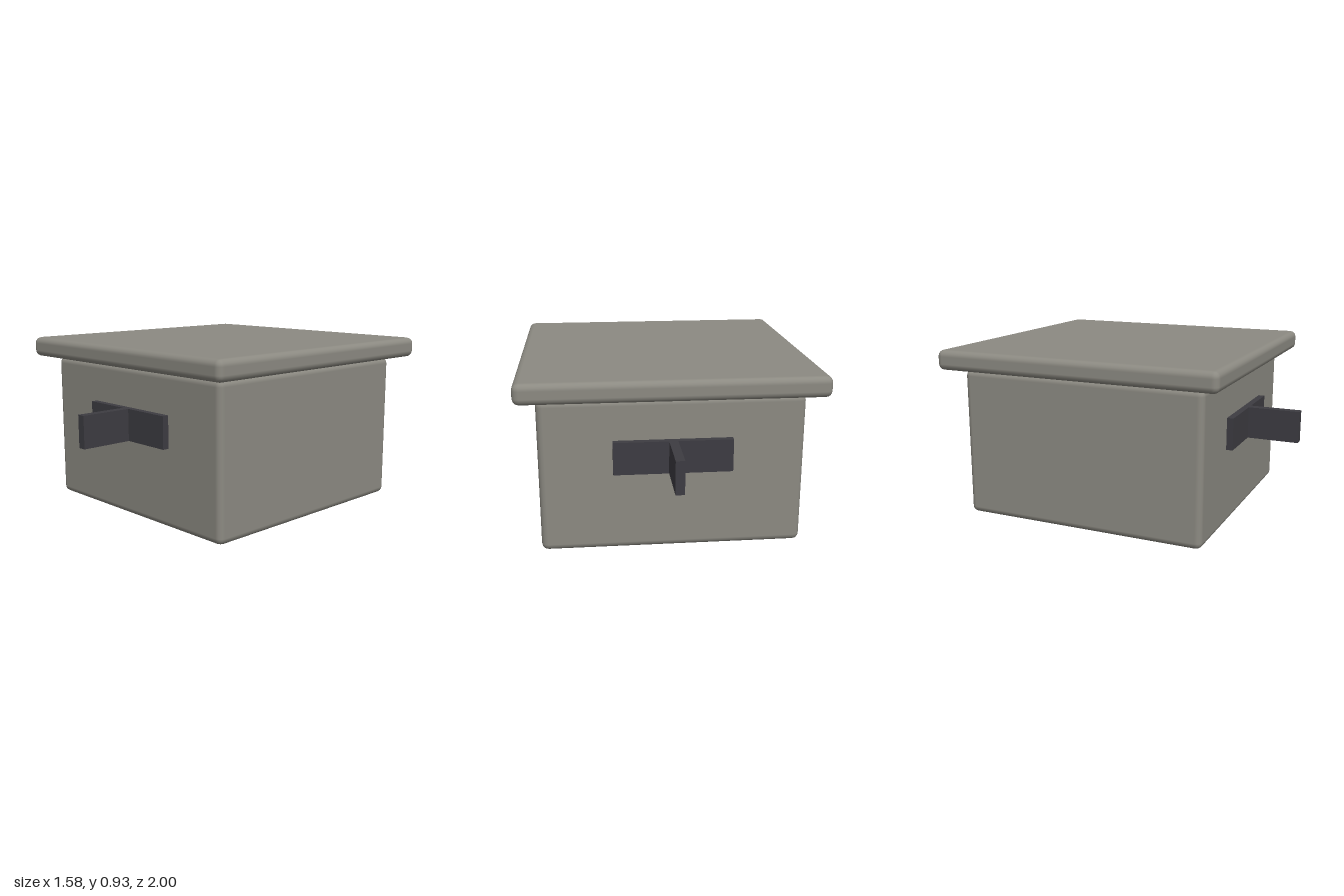
import * as THREE from 'three';
import { RoundedBoxGeometry } from 'three/addons/geometries/RoundedBoxGeometry.js';

export function createModel() {
  const model = new THREE.Group();
  model.name = 'lidded box';
  const stone = new THREE.MeshStandardMaterial({ color: 0x8c8a82 });
  const iron = new THREE.MeshStandardMaterial({ color: 0x3d3c42 });

  const add = (parent, name, geometry, material, x, y, z) => {
    const mesh = new THREE.Mesh(geometry, material);
    mesh.name = name;
    mesh.position.set(x, y, z);
    parent.add(mesh);
  };

  // Box body and overhanging lid, both with softened edges
  add(model, 'body', new RoundedBoxGeometry(1.37, 0.815, 1.37, 2, 0.035), stone, 0, 0.4075, 0);
  add(model, 'lid', new RoundedBoxGeometry(1.575, 0.11, 1.575, 2, 0.035), stone, 0, 0.875, 0);

  // A handle on the front and back: wide mounting plate with an upright fin
  for (const [name, turn] of [['frontHandle', 0], ['backHandle', Math.PI]]) {
    const handle = new THREE.Group();
    handle.name = name;
    handle.rotation.y = turn;
    add(handle, 'plate', new THREE.BoxGeometry(0.614, 0.173, 0.046), iron, 0, 0.513, 0.697);
    add(handle, 'fin', new THREE.BoxGeometry(0.046, 0.173, 0.3), iron, 0, 0.513, 0.85);
    model.add(handle);
  }
  return model;
}
